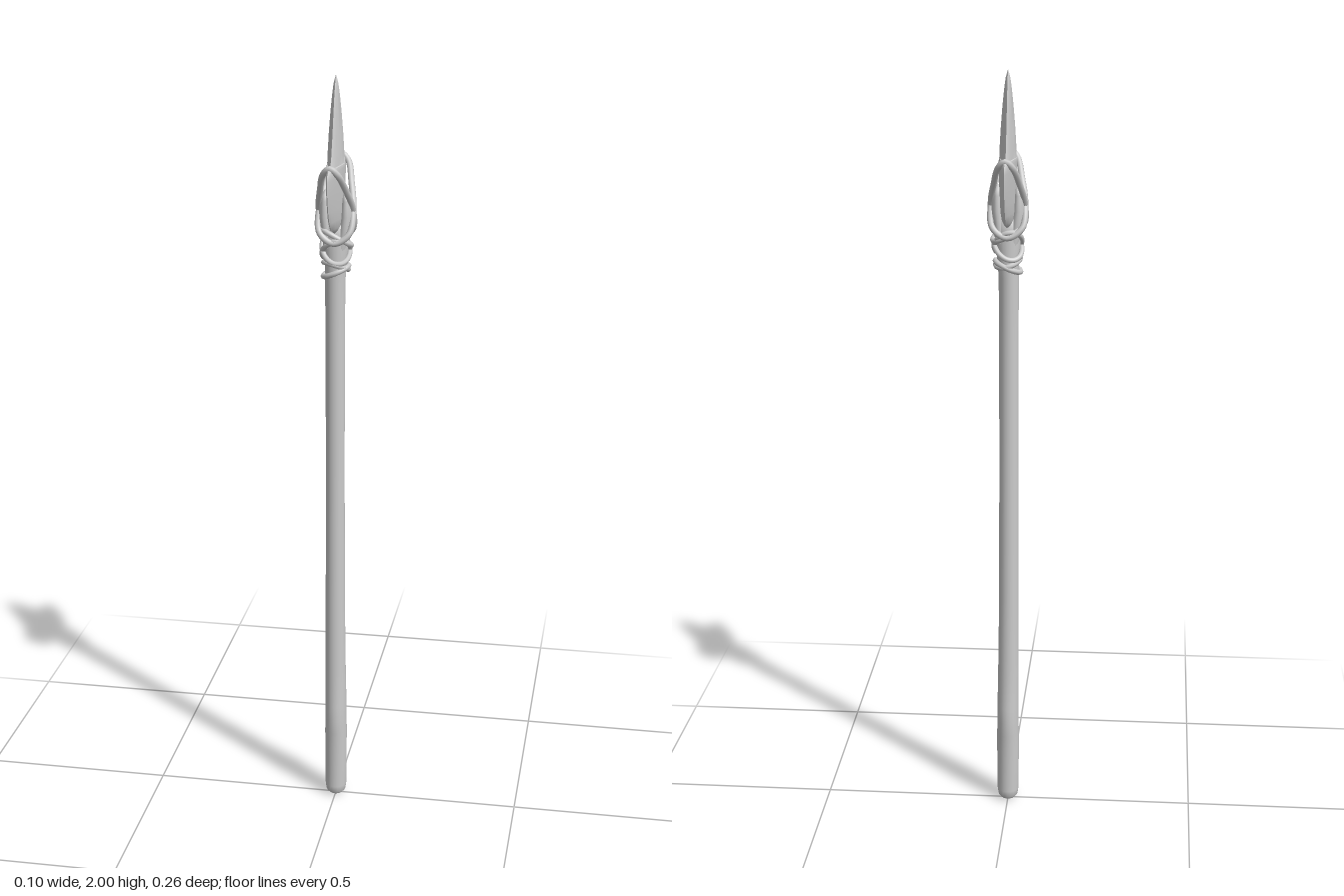
import * as THREE from 'three';
import { toCreasedNormals } from 'three/addons/utils/BufferGeometryUtils.js';

const material = new THREE.MeshStandardMaterial({ color: 0xcccccc });

// Skin a stack of rings; each row is [y, centreX, halfWidthX, halfWidthZ], bottom to top
function loft(rows, sides, ring) {
  const pos = [], index = [];
  rows.forEach(([y, cx, rx, rz], i) => {
    for (let j = 0; j < sides; j++) {
      const [u, v] = ring((j / sides) * Math.PI * 2);
      pos.push(cx + u * rx, y, v * rz);
      if (i === rows.length - 1) continue;
      const a = i * sides + j, b = i * sides + ((j + 1) % sides);
      index.push(a, a + sides, b, b, a + sides, b + sides);
    }
  });
  const g = new THREE.BufferGeometry();
  g.setAttribute('position', new THREE.Float32BufferAttribute(pos, 3));
  g.setIndex(index);
  g.computeVertexNormals();
  return g;
}

const oval = (a) => [Math.cos(a), Math.sin(a)];
// Lens section with sharp edges at +z and -z
const lens = (a) => [Math.sign(Math.cos(a)) * Math.pow(1 - Math.min(1, Math.abs(Math.sin(a))), 0.75), Math.sin(a)];

export function createModel() {
  const model = new THREE.Group();
  const add = (name, geometry) => {
    const mesh = new THREE.Mesh(geometry, material);
    mesh.name = name;
    model.add(mesh);
  };

  // Wooden shaft with a rounded butt and a swollen grip
  add('shaft', loft([
    [0, 0, 0.001, 0.001], [0.003, 0, 0.018, 0.018], [0.012, 0, 0.026, 0.027], [0.03, 0, 0.029, 0.03],
    [0.15, 0, 0.03, 0.031], [0.2, 0, 0.03, 0.034], [0.24, 0, 0.029, 0.037], [0.28, 0, 0.029, 0.034],
    [0.38, -0.001, 0.028, 0.029], [0.6, -0.002, 0.026, 0.027], [1, -0.002, 0.025, 0.025],
    [1.3, -0.002, 0.025, 0.026], [1.48, -0.002, 0.026, 0.028], [1.54, 0, 0.029, 0.03],
    [1.6, 0, 0.036, 0.027], [1.63, 0, 0.036, 0.024], [1.635, 0, 0.001, 0.001],
  ], 20, oval));

  // Split end of the shaft: one rounded prong on each side of the blade
  for (const [name, s] of [['leftProng', 1], ['rightProng', -1]]) {
    add(name, loft([
      [1.56, 0.014, 0.014, 0.024], [1.61, 0.023, 0.017, 0.026], [1.65, 0.027, 0.016, 0.026],
      [1.69, 0.027, 0.013, 0.025], [1.705, 0.026, 0.01, 0.019], [1.713, 0.025, 0.005, 0.01],
      [1.716, 0.025, 0.001, 0.001],
    ].map(([y, cx, rx, rz]) => [y, cx * s, rx, rz]), 16, oval));
  }

  // Stone blade: pointed top, notches for the cord and a barb at each side
  add('blade', toCreasedNormals(loft([
    [1.6, 0, 0.001, 0.001], [1.615, 0, 0.014, 0.04], [1.627, 0, 0.018, 0.072], [1.65, 0, 0.021, 0.095],
    [1.68, 0, 0.022, 0.112], [1.72, 0, 0.023, 0.124], [1.76, 0, 0.023, 0.131], [1.775, 0, 0.023, 0.126],
    [1.783, 0, 0.023, 0.108], [1.784, 0, 0.022, 0.083], [1.81, 0, 0.021, 0.068], [1.86, 0, 0.018, 0.051],
    [1.91, 0, 0.014, 0.037], [1.95, 0, 0.01, 0.025], [1.98, 0, 0.006, 0.012], [2, 0, 0.0005, 0.0005],
  ], 24, lens), 0.8));

  const cord = (name, points, radius = 0.008) => {
    const curve = new THREE.CatmullRomCurve3(points.map((p) => new THREE.Vector3(...p)), true);
    add(name, new THREE.TubeGeometry(curve, 72, radius, 8, true));
  };

  // Cord loops hooked over each notch, crossing on the prongs and passing behind the shaft
  for (const [name, s] of [['frontCordLoop', 1], ['backCordLoop', -1]]) {
    const half = [[0.017, 1.772, 0.086], [0.032, 1.725, 0.045], [0.043, 1.67, 0.004], [0.038, 1.61, -0.026]];
    cord(name, [
      [0, 1.787, s * 0.094],
      ...half.map(([x, y, z]) => [x, y, z * s]),
      [0, 1.585, s * -0.034],
      ...half.reverse().map(([x, y, z]) => [-x, y, z * s]),
    ]);
  }

  // Tilted turns of cord binding the shaft: [height, rise along x, rise along z, radius x, radius z]
  [[1.507, 0.014, 0, 0.032, 0.034], [1.52, -0.008, 0.01, 0.031, 0.033], [1.56, 0.012, 0.03, 0.035, 0.033],
    [1.565, -0.01, -0.032, 0.035, 0.033], [1.595, -0.02, 0.008, 0.039, 0.031]].forEach(([y, tx, tz, rx, rz], i) => {
    const points = Array.from({ length: 12 }, (_, k) => {
      const [c, s] = oval((k / 12) * Math.PI * 2);
      return [c * rx, y + c * tx + s * tz, s * rz];
    });
    cord('cordTurn' + (i + 1), points, 0.007);
  });

  return model;
}
